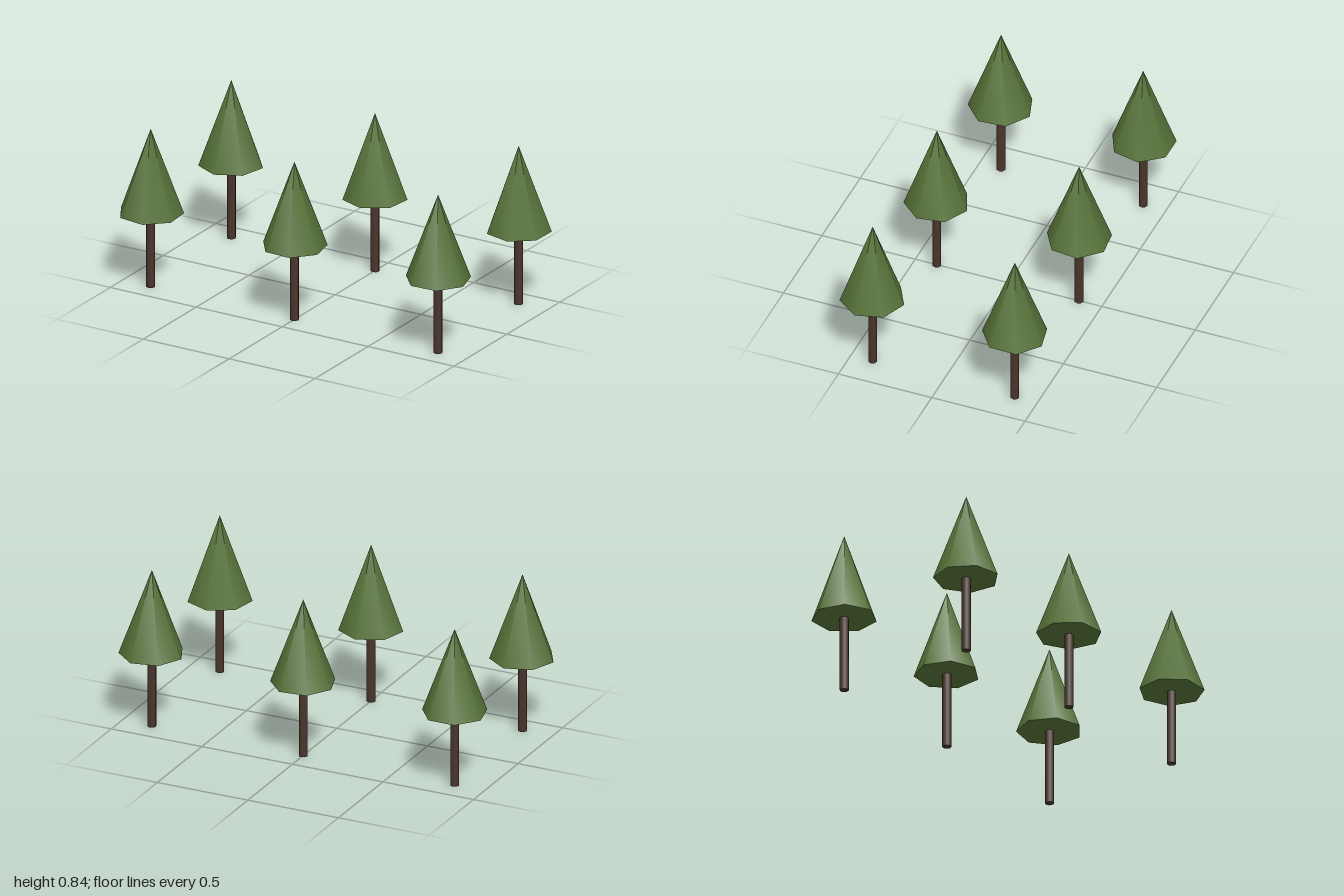
import * as THREE from 'three';

export function createModel() {
  const model = new THREE.Group();
  model.name = 'treeGrove';

  const foliage = new THREE.MeshStandardMaterial({ name: 'foliageGreen', color: 0x567238 });
  const bark = new THREE.MeshStandardMaterial({ name: 'barkBrown', color: 0x49352c });

  const baseY = 0.393, topY = 0.842;
  const trunkGeometry = new THREE.CylinderGeometry(0.023, 0.023, baseY, 8);
  trunkGeometry.translate(0, baseY / 2, 0);
  const crownGeometry = new THREE.ConeGeometry(0.1655, topY - baseY, 7);
  crownGeometry.translate(0, (baseY + topY) / 2, 0);

  // Two rows of three trees, each turned a little further than the last
  let index = 0;
  for (const z of [-0.378, 0.384]) {
    for (const x of [-0.836, 0, 0.836]) {
      const tree = new THREE.Group();
      tree.name = `tree${index + 1}`;

      const trunk = new THREE.Mesh(trunkGeometry, bark);
      trunk.name = 'trunk';
      const crown = new THREE.Mesh(crownGeometry, foliage);
      crown.name = 'crown';
      crown.rotation.y = index * 0.1;

      tree.add(trunk, crown);
      tree.position.set(x, 0, z);
      model.add(tree);
      index++;
    }
  }
  return model;
}
